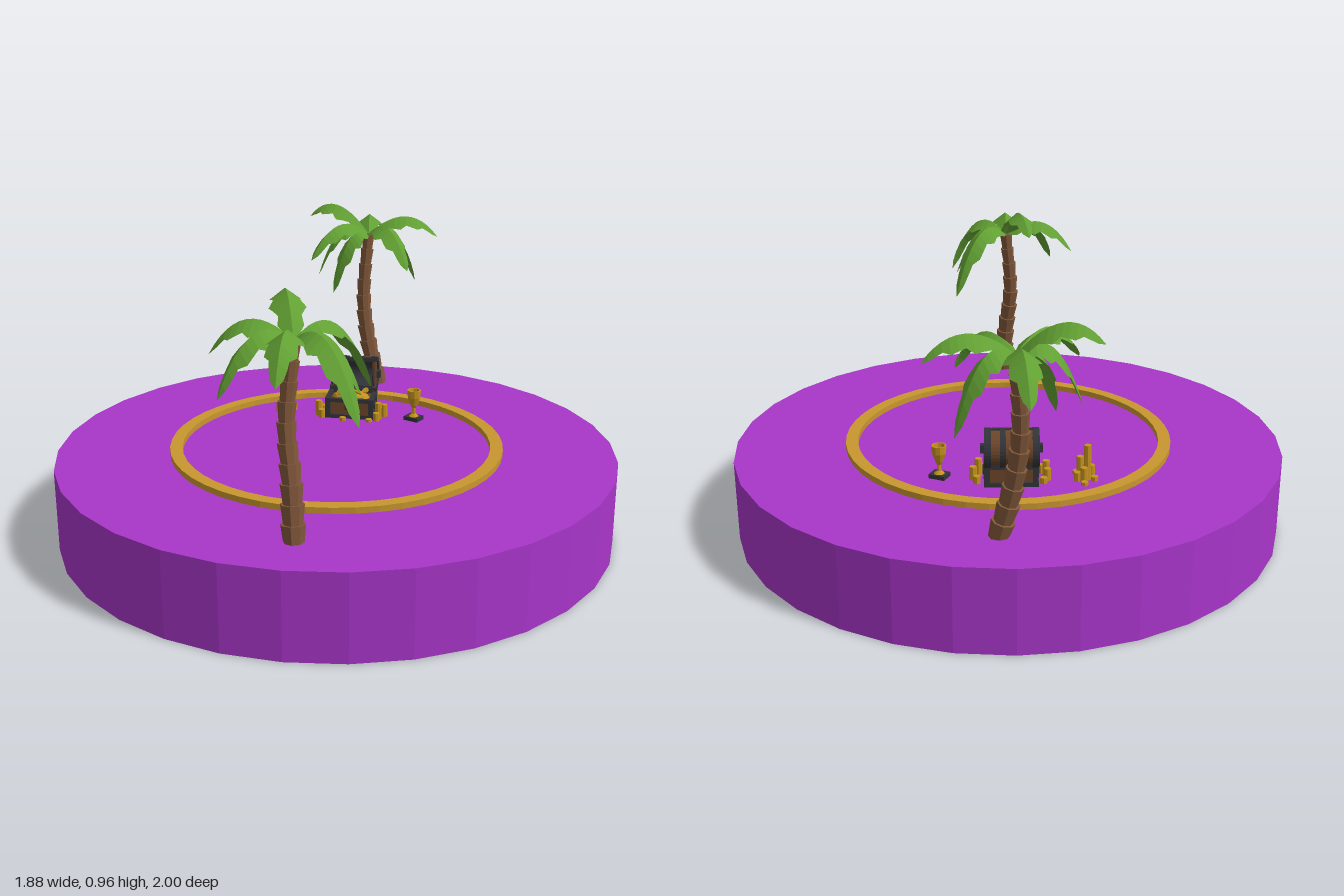
import * as THREE from 'three';

const mat = (name, color, extra = {}) => {
  const m = new THREE.MeshStandardMaterial({ color, flatShading: true, ...extra });
  m.name = name;
  return m;
};

export function createModel() {
  const purple = mat('purple', 0xa835c9);
  const gold = mat('gold', 0xc8962f);
  const coinGold = mat('coinGold', 0xc4921e);
  const bark = mat('bark', 0x80573a);
  const leafGreen = mat('leafGreen', 0x62a033, { side: THREE.DoubleSide });
  const iron = mat('iron', 0x33343a);
  const wood = mat('wood', 0x6b452a);

  const model = new THREE.Group();
  const add = (parent, name, geo, material, x = 0, y = 0, z = 0) => {
    const mesh = new THREE.Mesh(geo, material);
    mesh.name = name;
    mesh.position.set(x, y, z);
    parent.add(mesh);
    return mesh;
  };
  const group = (name) => {
    const g = new THREE.Group();
    g.name = name;
    model.add(g);
    return g;
  };
  const box = (w, h, d) => new THREE.BoxGeometry(w, h, d);
  const TOP = 0.28;

  // Round platform and the raised ring on it
  add(model, 'platform', new THREE.CylinderGeometry(0.94, 0.94, TOP, 32), purple, 0, TOP / 2, 0.055);
  const ringProfile = [[0.52, -0.005], [0.562, -0.005], [0.562, 0.02], [0.52, 0.02], [0.52, -0.005]];
  add(model, 'ring', new THREE.LatheGeometry(ringProfile.map((p) => new THREE.Vector2(...p)), 48),
    gold, 0, TOP, 0.05);

  // Palm frond: two strips folded along an arching rib, with notched edges
  function frond(dx, dz, tipY, archY, crown) {
    const reach = Math.hypot(dx, dz);
    const side = new THREE.Vector3(-dz / reach, 0, dx / reach);
    const rib = new THREE.QuadraticBezierCurve3(
      crown,
      new THREE.Vector3(crown.x + dx * 0.58, archY, crown.z + dz * 0.58),
      new THREE.Vector3(crown.x + dx, tipY, crown.z + dz));
    const pos = [], idx = [], n = 12;
    for (let i = 0; i <= n; i++) {
      const t = i / n, p = rib.getPoint(t);
      const notch = i % 3 === 0 ? 0.72 : i % 3 === 1 ? 0.9 : 1.08;
      const w = i === n ? 0.001 : 0.008 + 0.043 * Math.sin(Math.PI * Math.pow(t, 0.85)) * notch;
      const l = p.clone().addScaledVector(side, -w), r = p.clone().addScaledVector(side, w);
      pos.push(l.x, l.y - w * 0.75, l.z, p.x, p.y, p.z, r.x, r.y - w * 0.75, r.z);
      if (i < n) {
        const a = i * 3;
        idx.push(a + 1, a + 2, a + 4, a + 2, a + 5, a + 4, a, a + 1, a + 4, a, a + 4, a + 3);
      }
    }
    const indexed = new THREE.BufferGeometry();
    indexed.setAttribute('position', new THREE.Float32BufferAttribute(pos, 3));
    indexed.setIndex(idx);
    const geo = indexed.toNonIndexed();
    geo.computeVertexNormals();
    return geo;
  }

  // Palm: stacked flaring trunk segments along a curve, topped with fronds
  function palm(name, path, fronds) {
    const g = group(name);
    const curve = new THREE.CatmullRomCurve3(path.map((p) => new THREE.Vector3(...p)));
    const n = 10, up = new THREE.Vector3(0, 1, 0);
    for (let i = 0; i < n; i++) {
      const a = curve.getPointAt(i / n), b = curve.getPointAt((i + 1) / n);
      const r = 0.033 - 0.013 * (i / (n - 1));
      const seg = add(g, 'trunkSegment',
        new THREE.CylinderGeometry(r * 1.14, r * 0.92, a.distanceTo(b) * 1.08, 8), bark);
      seg.position.copy(a).lerp(b, 0.5);
      seg.quaternion.setFromUnitVectors(up, b.clone().sub(a).normalize());
    }
    const crown = curve.getPoint(1);
    for (const [dx, dz, tipY, archY] of fronds) {
      add(g, 'frond', frond(dx, dz, tipY, archY, crown), leafGreen);
    }
  }

  palm('frontPalm',
    [[0, 0.27, 0.81], [-0.01, 0.45, 0.785], [-0.028, 0.62, 0.755], [-0.01, 0.85, 0.73]],
    [[-0.25, -0.03, 0.79, 0.98], [-0.08, -0.23, 0.89, 1.05], [0.19, -0.2, 0.66, 0.99],
      [0.19, 0, 0.7, 0.95], [0.21, 0.18, 0.67, 0.99], [0, 0.25, 0.79, 0.99], [-0.18, 0.16, 0.72, 0.98]]);
  palm('backPalm',
    [[0.05, 0.27, -0.68], [0.005, 0.45, -0.695], [-0.015, 0.62, -0.71], [0, 0.86, -0.73]],
    [[-0.03, -0.27, 0.8, 0.99], [0.26, -0.04, 0.85, 1.0], [0.17, 0.18, 0.76, 0.98],
      [-0.19, 0.19, 0.79, 0.99], [-0.24, -0.07, 0.91, 1.04], [-0.19, 0.03, 0.7, 0.97],
      [0.17, -0.11, 0.66, 0.97], [-0.12, 0.11, 0.65, 0.94]]);

  // Half ring running along x, with its round side facing back
  function halfRing(outer, inner, width) {
    const s = new THREE.Shape();
    s.absarc(0, 0, outer, -Math.PI / 2, Math.PI / 2, false);
    if (inner > 0) s.absarc(0, 0, inner, Math.PI / 2, -Math.PI / 2, true);
    return new THREE.ExtrudeGeometry(s, { depth: width, bevelEnabled: false, curveSegments: 8 })
      .translate(0, 0, -width / 2).rotateY(Math.PI / 2);
  }

  // Treasure chest: wooden body with iron fittings
  const chest = group('chest');
  const cz = -0.288;
  add(chest, 'chestBody', box(0.16, 0.06, 0.1), wood, 0, TOP + 0.035, cz);
  add(chest, 'chestFoot', box(0.176, 0.014, 0.114), iron, 0, TOP + 0.007, cz);
  for (const s of [-1, 1]) {
    add(chest, 'sideRim', box(0.016, 0.014, 0.116), iron, s * 0.08, TOP + 0.068, cz);
    add(chest, 'endRim', box(0.176, 0.014, 0.014), iron, 0, TOP + 0.068, cz + s * 0.052);
    add(chest, 'sideHandle', new THREE.TorusGeometry(0.014, 0.004, 5, 10).rotateY(Math.PI / 2),
      iron, s * 0.088, TOP + 0.04, cz);
    for (const t of [-1, 1]) {
      add(chest, 'cornerPost', box(0.018, 0.07, 0.018), iron, s * 0.078, TOP + 0.035, cz + t * 0.048);
    }
  }
  add(chest, 'lock', box(0.03, 0.032, 0.008), iron, 0, TOP + 0.05, cz + 0.058);
  const treasure = add(chest, 'treasure', new THREE.SphereGeometry(1, 10, 6), coinGold, 0, TOP + 0.062, cz);
  treasure.scale.set(0.07, 0.028, 0.045);

  // Open lid: barrel of planks, iron lining, bands and hinge
  const lid = new THREE.Group();
  lid.name = 'lid';
  lid.position.set(0, 0.418, -0.34);
  lid.scale.z = 1.08;
  chest.add(lid);
  add(lid, 'lidPlanks', halfRing(0.06, 0.051, 0.156), wood);
  add(lid, 'lidLining', halfRing(0.052, 0.046, 0.15), iron);
  for (const s of [-1, 1]) {
    add(lid, 'lidEnd', halfRing(0.056, 0, 0.01), wood, s * 0.076);
    add(lid, 'lidEndBand', halfRing(0.066, 0.05, 0.022), iron, s * 0.076);
    add(lid, 'lidBand', halfRing(0.065, 0.05, 0.018), iron, s * 0.028);
    add(lid, 'lidEdge', box(0.17, 0.012, 0.012), iron, 0, s * 0.057, 0);
    add(lid, 'lidKnob', box(0.014, 0.026, 0.02), iron, s * 0.092, 0, -0.008);
    const chain = add(chest, 'lidStay', new THREE.TorusGeometry(0.032, 0.003, 5, 10, Math.PI)
      .rotateZ(Math.PI / 2).rotateY(-Math.PI / 2), iron, s * 0.076, 0.41, -0.338);
    chain.scale.z = -0.8;
  }
  add(chest, 'hinge', box(0.14, 0.016, 0.016), iron, 0, 0.356, -0.344);

  // Coin stacks and loose coins: x, z, stack height
  const coins = group('coins');
  const stack = (x, z, h, r = 0.012) =>
    add(coins, 'coinStack', new THREE.CylinderGeometry(r, r, h, 8), coinGold, x, TOP + h / 2, z);
  [[-0.247, -0.29, 0.12], [-0.225, -0.275, 0.075], [-0.262, -0.265, 0.04], [-0.235, -0.31, 0.05],
    [-0.24, -0.245, 0.025], [-0.215, -0.3, 0.03], [-0.27, -0.3, 0.015], [-0.235, -0.335, 0.012],
    [-0.215, -0.245, 0.012], [-0.235, -0.22, 0.008]].forEach((c) => stack(...c));
  [[-0.115, -0.26, 0.055], [-0.1, -0.235, 0.03], [-0.118, -0.29, 0.04], [-0.105, -0.315, 0.02],
    [0.105, -0.25, 0.06], [0.122, -0.28, 0.045], [0.1, -0.225, 0.03], [0.11, -0.31, 0.025],
    [-0.02, -0.212, 0.012], [0.03, -0.218, 0.02], [0.075, -0.212, 0.01]].forEach((c) => stack(...c));
  [[-0.04, -0.27, 0.8], [0.03, -0.265, -0.6], [0.05, -0.3, 0.5], [-0.02, -0.305, -0.9]].forEach(([x, z, tilt]) => {
    add(coins, 'looseCoin', new THREE.CylinderGeometry(0.013, 0.013, 0.004, 8), coinGold, x, 0.368, z)
      .rotation.set(tilt, 0, tilt * 0.6);
  });

  // Goblet on a dark square plinth
  const goblet = group('goblet');
  goblet.position.set(0.232, TOP, -0.26);
  goblet.rotation.y = -0.45;
  add(goblet, 'plinth', box(0.056, 0.014, 0.046), iron, 0, 0.007, 0);
  const cup = [[0, 0.012], [0.018, 0.014], [0.007, 0.024], [0.006, 0.045], [0.013, 0.056],
    [0.023, 0.085], [0.025, 0.112], [0.02, 0.112], [0.016, 0.08], [0, 0.066]];
  add(goblet, 'cup', new THREE.LatheGeometry(cup.map((p) => new THREE.Vector2(...p)), 10), coinGold);

  return model;
}
